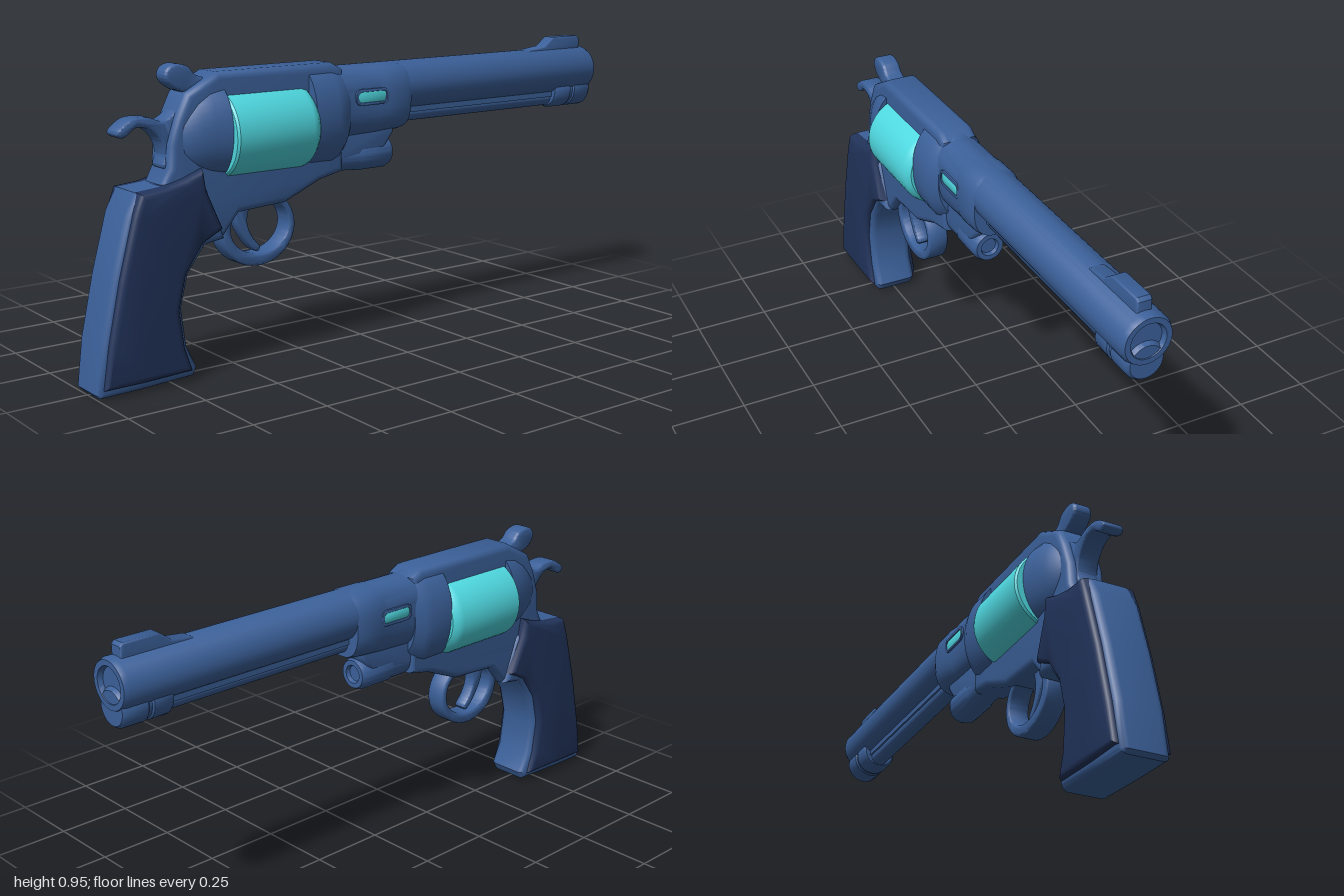
import * as THREE from 'three';
import { toCreasedNormals } from 'three/addons/utils/BufferGeometryUtils.js';

const blue = new THREE.MeshStandardMaterial({ color: 0x3b6099 });
blue.name = 'blue steel';
const navy = new THREE.MeshStandardMaterial({ color: 0x22345c });
navy.name = 'navy grip';
const cyan = new THREE.MeshStandardMaterial({ color: 0x4fd8e0 });
cyan.name = 'cyan drum';

const v2 = (pts) => pts.map(([x, y]) => new THREE.Vector2(x, y));

// Closed side outline; smooth runs a spline through the points
function outline(pts, smooth = false) {
  if (!smooth) return new THREE.Shape(v2(pts));
  const s = new THREE.Shape();
  s.moveTo(...pts[0]);
  s.splineThru(v2(pts.slice(1)));
  return s;
}

// Side outline extruded symmetrically to +-half in z, with rounded edges
function slab(shape, half, bevel) {
  const g = new THREE.ExtrudeGeometry(shape, {
    depth: 2 * (half - bevel), bevelThickness: bevel, bevelSize: bevel,
    bevelOffset: -bevel, bevelSegments: 4, curveSegments: 32,
  });
  return g.translate(0, 0, bevel - half);
}

// Body turned around the x axis at height y; profile is [x, radius]
function turned(y, profile) {
  const g = new THREE.LatheGeometry(v2(profile.map(([x, r]) => [r, x])), 48);
  return g.rotateZ(-Math.PI / 2).translate(0, y, 0);
}

// Superelliptic sections along x: [x, bottom, top, halfWidth, power]
function loft(sections, n = 40) {
  const pos = [], idx = [];
  const bend = (v, p) => Math.sign(v) * Math.abs(v) ** (2 / p);
  for (const [x, y0, y1, w, p = 2] of sections) {
    for (let j = 0; j < n; j++) {
      const t = (j / n) * Math.PI * 2;
      pos.push(x, (y0 + y1) / 2 + bend(Math.sin(t), p) * (y1 - y0) / 2, bend(Math.cos(t), p) * w);
    }
  }
  const last = sections.length - 1;
  for (const i of [0, last]) pos.push(sections[i][0], (sections[i][1] + sections[i][2]) / 2, 0);
  const c0 = sections.length * n;
  for (let j = 0; j < n; j++) {
    const k = (j + 1) % n;
    for (let i = 0; i < last; i++) {
      const a = i * n + j, b = i * n + k;
      idx.push(a, a + n, b, b, a + n, b + n);
    }
    idx.push(c0, j, k, c0 + 1, last * n + k, last * n + j);
  }
  const g = new THREE.BufferGeometry();
  g.setAttribute('position', new THREE.Float32BufferAttribute(pos, 3));
  g.setIndex(idx);
  return g;
}

export function createModel() {
  const model = new THREE.Group();
  const add = (name, geometry, material = blue, crease = 0.7) => {
    const mesh = new THREE.Mesh(toCreasedNormals(geometry, crease), material);
    mesh.name = name;
    model.add(mesh);
    return mesh;
  };

  // Frame: flat body with the top strap, recoil shield and front block
  add('frame', slab(outline([
    [-0.675, 0.865], [-0.62, 0.895], [-0.57, 0.922], [-0.15, 0.922], [-0.11, 0.9], [-0.11, 0.575],
    [-0.2, 0.555], [-0.27, 0.525], [-0.33, 0.5], [-0.5, 0.49], [-0.56, 0.42], [-0.62, 0.42],
    [-0.7, 0.52], [-0.765, 0.6], [-0.74, 0.65], [-0.735, 0.72], [-0.71, 0.795],
  ]), 0.062, 0.022));
  add('recoilShield', loft([
    [-0.715, 0.68, 0.79, 0.04], [-0.69, 0.635, 0.83, 0.068], [-0.64, 0.61, 0.87, 0.088],
    [-0.6, 0.6, 0.89, 0.1], [-0.55, 0.595, 0.895, 0.11],
  ]));
  add('frontBlock', loft([
    [-0.245, 0.59, 0.918, 0.108, 2.1], [-0.16, 0.59, 0.918, 0.11, 2.1],
    [-0.13, 0.6, 0.912, 0.102, 2.1], [-0.1, 0.63, 0.905, 0.084, 2.1],
  ]));

  // Drum
  add('drum', turned(0.73, [
    [-0.55, 0], [-0.55, 0.13], [-0.543, 0.136], [-0.275, 0.136], [-0.255, 0.13], [-0.24, 0.116], [-0.24, 0],
  ]), cyan);

  // Barrel with a recessed muzzle
  add('barrel', turned(0.826, [
    [-0.14, 0], [-0.14, 0.08], [0.985, 0.08], [1, 0.073], [1, 0.056], [0.985, 0.05], [0.985, 0],
  ]));
  add('barrelLug', loft([
    [-0.13, 0.67, 0.904, 0.082, 2.6], [0.02, 0.675, 0.904, 0.082, 2.6],
    [0.05, 0.68, 0.905, 0.088, 2.6], [0.125, 0.685, 0.905, 0.088, 2.6], [0.147, 0.69, 0.9, 0.08, 2.6],
  ]));
  const rib = new THREE.BoxGeometry(0.75, 0.03, 0.075);
  add('underRib', rib.translate(0.5, 0.752, 0));
  add('ejectorRod', turned(0.735, [[0.1, 0], [0.1, 0.031], [0.85, 0.031], [0.85, 0]]));
  add('muzzleLug', turned(0.757, [
    [0.825, 0], [0.825, 0.054], [0.835, 0.061], [0.895, 0.061], [0.9, 0.056], [0.91, 0.056],
    [0.915, 0.061], [0.985, 0.061], [0.997, 0.052], [0.997, 0],
  ]));
  add('lowerLug', turned(0.615, [
    [-0.17, 0], [-0.17, 0.048], [-0.04, 0.05], [-0.03, 0.054], [0.08, 0.054], [0.098, 0.046],
    [0.098, 0.03], [0.085, 0.026], [0.085, 0],
  ]));
  add('lowerLugWeb', slab(outline([
    [-0.15, 0.72], [0.1, 0.72], [0.1, 0.68], [0.06, 0.63], [-0.15, 0.6],
  ]), 0.05, 0.012));

  // Side slots: rim and bright insert
  const slot = (w, h) => {
    const s = new THREE.Shape(), r = h * 0.4;
    s.absarc(w / 2 - r, h / 2 - r, r, 0, Math.PI / 2);
    s.absarc(r - w / 2, h / 2 - r, r, Math.PI / 2, Math.PI);
    s.absarc(r - w / 2, r - h / 2, r, Math.PI, Math.PI * 1.5);
    s.absarc(w / 2 - r, r - h / 2, r, Math.PI * 1.5, Math.PI * 2);
    return s;
  };
  const rim = slot(0.13, 0.052);
  rim.holes.push(slot(0.112, 0.034));
  for (const side of [1, -1]) {
    add('slotRim', slab(rim, 0.004, 0.001).translate(-0.015, 0.808, side * 0.084));
    add('slotInsert', slab(slot(0.112, 0.034), 0.003, 0.001).translate(-0.015, 0.808, side * 0.082), cyan);
  }

  // Sights
  add('frontSight', slab(outline([
    [0.7, 0.89], [0.73, 0.907], [0.8, 0.915], [0.84, 0.945], [0.96, 0.945], [0.97, 0.935], [0.97, 0.88],
  ]), 0.024, 0.006));
  add('rearSight', slab(outline([
    [-0.58, 0.9], [-0.625, 0.915], [-0.65, 0.94], [-0.69, 0.951], [-0.72, 0.94], [-0.73, 0.915],
    [-0.715, 0.89], [-0.68, 0.87], [-0.6, 0.85], [-0.58, 0.9],
  ], true), 0.032, 0.012));

  // Hammer with a curled spur
  add('hammer', slab(outline([
    [-0.68, 0.83], [-0.74, 0.79], [-0.79, 0.803], [-0.84, 0.803], [-0.875, 0.785], [-0.893, 0.765],
    [-0.88, 0.75], [-0.86, 0.755], [-0.83, 0.775], [-0.79, 0.768], [-0.755, 0.735], [-0.74, 0.69],
    [-0.745, 0.65], [-0.68, 0.65], [-0.68, 0.83],
  ], true), 0.036, 0.01));

  // Trigger guard and trigger
  const guard = new THREE.Shape();
  guard.absellipse(-0.417, 0.427, 0.135, 0.119, 0, Math.PI * 2);
  const opening = new THREE.Path();
  opening.absellipse(-0.412, 0.432, 0.105, 0.085, 0, Math.PI * 2, true);
  guard.holes.push(opening);
  add('triggerGuard', slab(guard, 0.036, 0.01));
  add('trigger', slab(outline([
    [-0.5, 0.53], [-0.49, 0.45], [-0.455, 0.385], [-0.42, 0.352], [-0.405, 0.365],
    [-0.432, 0.4], [-0.45, 0.45], [-0.44, 0.53], [-0.5, 0.53],
  ], true), 0.022, 0.007));

  // Grip: blue strap core with dark cheeks showing on both sides
  add('gripStrap', slab(outline([
    [-0.855, 0.595], [-0.89, 0.53], [-0.94, 0.35], [-0.982, 0.16], [-1, 0.015], [-0.99, 0.003],
    [-0.85, 0.006], [-0.68, 0.014], [-0.667, 0.04], [-0.7, 0.11], [-0.715, 0.23], [-0.69, 0.33],
    [-0.63, 0.41], [-0.56, 0.42], [-0.62, 0.58], [-0.7, 0.62], [-0.77, 0.602],
  ]), 0.078, 0.025));
  add('gripCheeks', slab(outline([
    [-0.852, 0.595], [-0.876, 0.53], [-0.925, 0.35], [-0.966, 0.16], [-0.985, 0.03],
    [-0.85, 0.03], [-0.69, 0.036], [-0.715, 0.11], [-0.73, 0.23], [-0.705, 0.335],
    [-0.645, 0.42], [-0.575, 0.455], [-0.63, 0.58], [-0.64, 0.643], [-0.7, 0.62], [-0.77, 0.602],
  ]), 0.093, 0.022), navy);

  return model;
}
